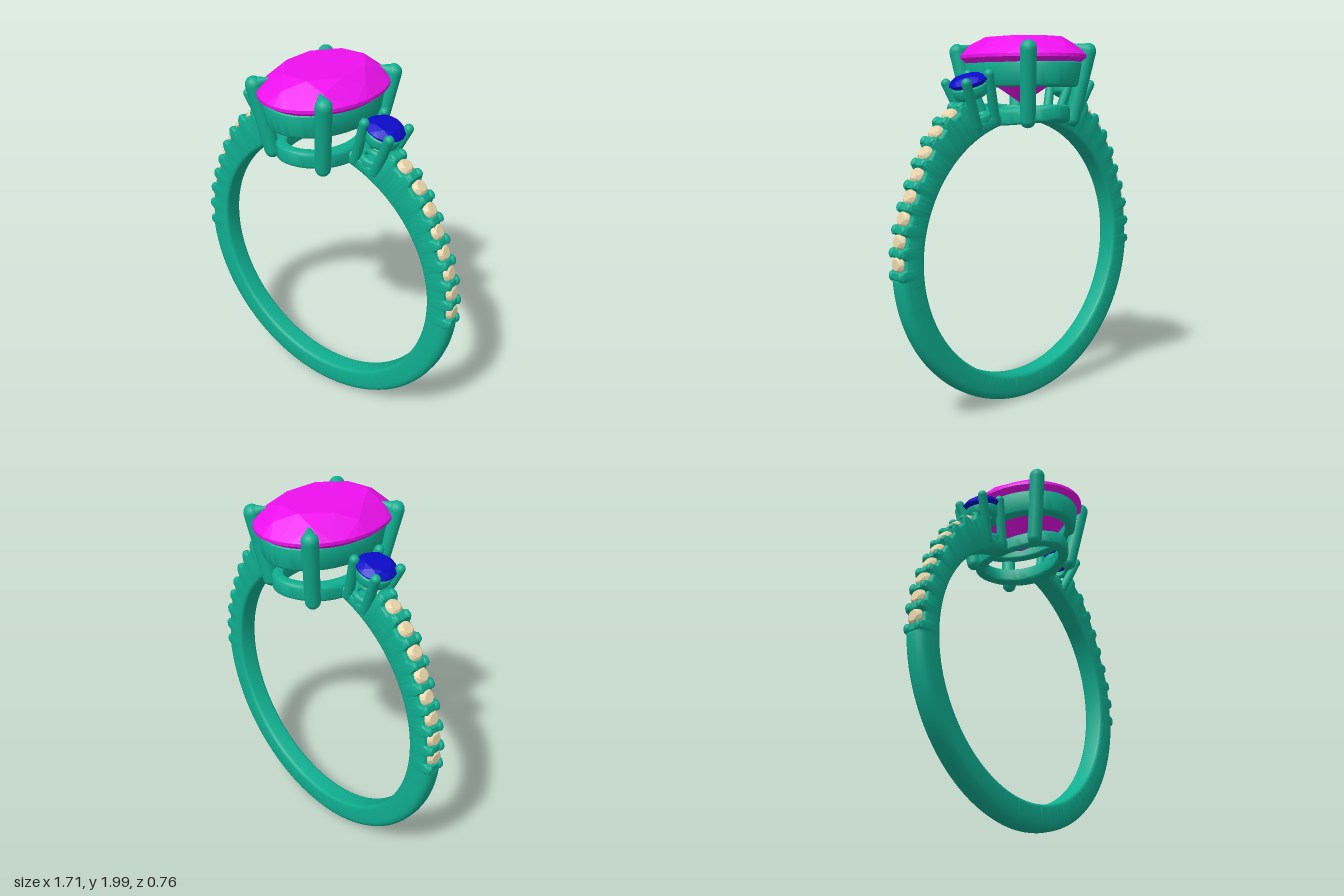
import * as THREE from 'three';
import { toCreasedNormals } from 'three/addons/utils/BufferGeometryUtils.js';
import { ConvexGeometry } from 'three/addons/geometries/ConvexGeometry.js';

const metal = new THREE.MeshStandardMaterial({ color: 0x0fae90 });
const magenta = new THREE.MeshStandardMaterial({ color: 0xee10ee });
const blue = new THREE.MeshStandardMaterial({ color: 0x0a0ac8 });
const cream = new THREE.MeshStandardMaterial({ color: 0xe8d4aa });

const CY = 0.86, INNER = 0.705;           // finger hole centre height and radius
const rad = THREE.MathUtils.degToRad;
const smooth = THREE.MathUtils.smoothstep;

function add(parent, name, geometry, material) {
  const mesh = new THREE.Mesh(geometry, material);
  mesh.name = name;
  parent.add(mesh);
  return mesh;
}

// Rounded rectangle, counter-clockwise; corner radius differs on the inner (u0) and outer (u1) side
function roundedRect(u0, u1, v0, v1, cIn, cOut) {
  const pts = [];
  const corners = [[u1 - cOut, v0 + cOut, cOut, -90], [u1 - cOut, v1 - cOut, cOut, 0],
    [u0 + cIn, v1 - cIn, cIn, 90], [u0 + cIn, v0 + cIn, cIn, 180]];
  for (const [u, v, c, start] of corners)
    for (let k = 0; k <= 4; k++) {
      const a = rad(start + k * 22.5);
      pts.push([u + c * Math.cos(a), v + c * Math.sin(a)]);
    }
  return pts;
}

// Skin a list of equal-length cross-sections
function skin(sections, closed) {
  const n = sections[0].length, m = sections.length, index = [];
  for (let i = 0; i < (closed ? m : m - 1); i++)
    for (let j = 0; j < n; j++) {
      const a = i * n + j, b = ((i + 1) % m) * n + j;
      const c = i * n + (j + 1) % n, d = ((i + 1) % m) * n + (j + 1) % n;
      index.push(a, b, c, b, d, c);
    }
  const g = new THREE.BufferGeometry();
  g.setAttribute('position', new THREE.Float32BufferAttribute(sections.flat(2), 3));
  g.setIndex(index);
  return toCreasedNormals(g, 0.7);
}

// Oval rail with outer half-axes a, b; flare widens the top, arch bends it over the finger hole
function ovalRail(a, b, wall, y0, y1, flare = 0, arch = false) {
  const sections = [];
  for (let i = 0; i < 72; i++) {
    const t = i / 72 * Math.PI * 2, c = Math.cos(t), s = Math.sin(t);
    sections.push(roundedRect(-wall, 0, y0, y1, 0.014, 0.018).map(([u, y]) => {
      const off = u + flare * (y - y1) / (y1 - y0);
      const x = (a + off) * c;
      const drop = arch ? Math.sqrt(INNER * INNER - x * x) - INNER : 0;
      return [x, y + drop, -(b + off) * s];
    }));
  }
  return skin(sections, true);
}

// Faceted stone: table, crown, girdle, pavilion and culet, girdle at y = 0
function gem(a, b, top, bottom, sides = 32) {
  const pts = [];
  const ring = (n, r, y, shift = 0) => {
    for (let i = 0; i < n; i++) {
      const t = (i + shift) / n * Math.PI * 2;
      pts.push(new THREE.Vector3(a * r * Math.cos(t), y, b * r * Math.sin(t)));
    }
  };
  ring(8, 0.64, top, 0.5);
  ring(8, 0.84, top * 0.62);
  ring(sides, 1, 0.006 * top / 0.1);
  ring(sides, 1, -0.1 * top);
  ring(8, 0.55, -bottom * 0.52, 0.5);
  pts.push(new THREE.Vector3(0, -bottom, 0));
  return new ConvexGeometry(pts);
}

// Tapered rod with ball ends
function rod(parent, name, from, to, r0, r1) {
  const p = new THREE.Vector3(...from), q = new THREE.Vector3(...to);
  const dir = q.clone().sub(p);
  const shaft = add(parent, name, new THREE.CylinderGeometry(r1, r0, dir.length(), 16, 1, true), metal);
  shaft.position.copy(p).add(q).multiplyScalar(0.5);
  shaft.quaternion.setFromUnitVectors(new THREE.Vector3(0, 1, 0), dir.normalize());
  add(parent, name + 'Foot', new THREE.SphereGeometry(r0, 16, 10), metal).position.copy(p);
  add(parent, name + 'Tip', new THREE.SphereGeometry(r1, 16, 10), metal).position.copy(q);
}

// Shank outer radius at elevation e (degrees above the horizontal)
const FIRST = 1.4, STEP = 7.8, COUNT = 8;
const outer = e => 0.845 + 0.068 * smooth(e, 24, 58) - 0.138 * smooth(e, 61, 65);
const paved = e => smooth(e, -4.5, -3.5) * (1 - smooth(e, 60, 61));

function shankGeometry() {
  const sections = [];
  for (let k = 0; k <= 664; k++) {
    const deg = -256 + k / 2, t = rad(deg);
    const e = deg > -90 ? deg : -180 - deg, p = paved(e);
    // shallow scallops where the small stones sit
    const dip = 0.03 * p * smooth(Math.cos((e - FIRST) / STEP * Math.PI * 2), -0.7, 0.2);
    const round = THREE.MathUtils.lerp(0.042, 0.014, p);
    const pts = roundedRect(INNER, outer(e) - dip, -0.058, 0.058, 0.02, e > 62 ? 0.02 : round);
    sections.push(pts.map(([r, z]) => [r * Math.cos(t), CY + r * Math.sin(t), z]));
  }
  return skin(sections, false);
}

// Small stones and their beads along one shoulder (+x side)
function paveRow() {
  const row = new THREE.Group();
  const place = (mesh, e, r, z) => {
    mesh.position.set(r * Math.cos(rad(e)), CY + r * Math.sin(rad(e)), z);
    mesh.rotation.z = rad(e - 90);
  };
  for (let i = 0; i <= COUNT; i++) {
    const e = FIRST + i * STEP;
    if (i < COUNT)
      place(add(row, 'shoulderStone', gem(0.045, 0.045, 0.022, 0.04, 16), cream), e, outer(e) - 0.022, 0);
    const gap = e - STEP / 2;
    for (const z of [-0.036, 0.036]) {
      const bead = add(row, 'shoulderBead', new THREE.SphereGeometry(0.02, 12, 8), metal);
      bead.scale.set(1.25, 0.7, 0.9);
      place(bead, gap, outer(Math.min(gap, 59)) - 0.004, z);
    }
  }
  return row;
}

// Side stone in its basket, tilted outwards; s = +1 left, -1 right
function sideSetting(s) {
  const g = new THREE.Group();
  g.position.set(s * 0.375, 1.765, 0);
  g.rotation.z = -s * rad(18);
  add(g, 'sideStone', gem(0.1, 0.105, 0.032, 0.085, 24), blue);
  add(g, 'sideUpperRail', ovalRail(0.095, 0.095, 0.035, -0.085, -0.02, 0.012), metal);
  add(g, 'sideLowerRail', ovalRail(0.075, 0.062, 0.035, -0.25, -0.18, 0.008), metal).position.x = -s * 0.015;
  for (const z of [-1, 1]) {
    rod(g, 'sideProng', [-s * 0.078, -0.235, z * 0.04], [-s * 0.077, 0.015, z * 0.082], 0.027, 0.025);
    rod(g, 'sideProng', [s * 0.048, -0.225, z * 0.04], [s * 0.077, 0.015, z * 0.082], 0.027, 0.025);
  }
  return g;
}

export function createModel() {
  const ring = new THREE.Group();
  ring.name = 'ring';
  add(ring, 'shank', shankGeometry(), metal);

  // Centre stone and its two oval rails
  add(ring, 'centreStone', gem(0.295, 0.382, 0.1, 0.25, 40), magenta).position.y = 1.9;
  add(ring, 'upperRail', ovalRail(0.27, 0.36, 0.06, 1.74, 1.87, 0.02), metal);
  add(ring, 'lowerRail', ovalRail(0.205, 0.3, 0.06, 1.565, 1.65, 0, true), metal);

  for (const s of [1, -1]) {
    const side = s > 0 ? 'left' : 'right';
    // Centre prongs, each with a claw leaning over the stone
    for (const z of [1, -1]) {
      rod(ring, side + 'CentreProng', [s * 0.165, 1.57, z * 0.22], [s * 0.218, 1.925, z * 0.28], 0.04, 0.042);
      rod(ring, side + 'Claw', [s * 0.218, 1.928, z * 0.28], [s * 0.163, 1.955, z * 0.237], 0.042, 0.01);
    }
    const setting = sideSetting(s);
    setting.name = side + 'SideSetting';
    ring.add(setting);
    const row = paveRow();
    row.name = side + 'ShoulderStones';
    if (s < 0) row.rotation.y = Math.PI;
    ring.add(row);
  }
  return ring;
}
